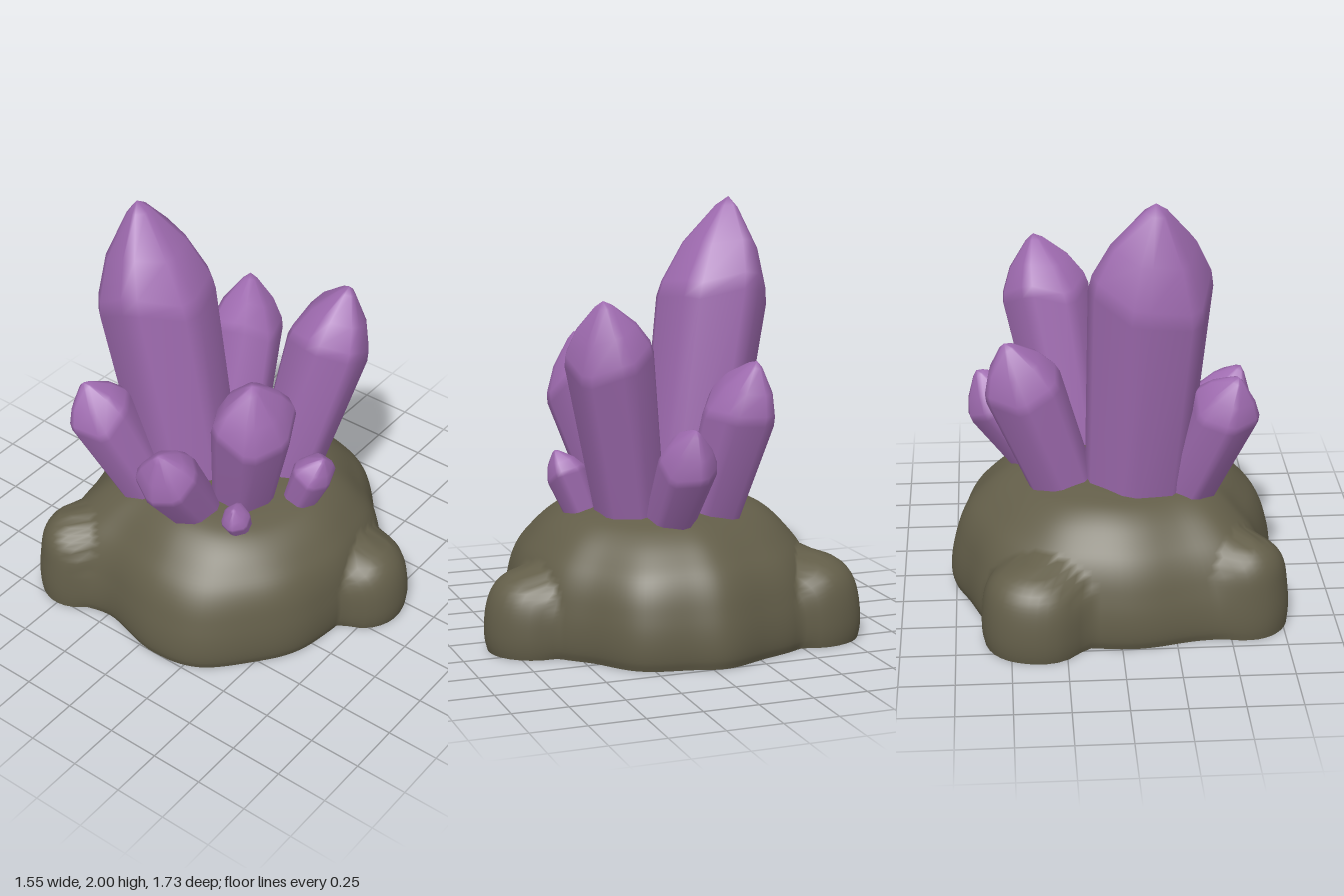
import * as THREE from 'three';

const V = (x, y, z) => new THREE.Vector3(x, y, z);

// Skin a stack of equal-length loops (counter-clockwise seen from the last end) and close both ends.
function loft(loops, bottom, top) {
  const n = loops[0].length, pts = loops.flat(), idx = [];
  for (let i = 0; i < loops.length - 1; i++)
    for (let j = 0; j < n; j++) {
      const a = i * n + j, b = i * n + (j + 1) % n;
      idx.push(a, b, b + n, a, b + n, a + n);
    }
  // The bottom cap has its own vertices so that its rim stays sharp
  const capStart = pts.length;
  pts.push(...loops[0], bottom, top);
  const last = (loops.length - 1) * n;
  for (let j = 0; j < n; j++) {
    const k = (j + 1) % n;
    idx.push(capStart + k, capStart + j, capStart + n);
    idx.push(last + j, last + k, capStart + n + 1);
  }
  const g = new THREE.BufferGeometry().setFromPoints(pts);
  g.setIndex(idx);
  g.computeVertexNormals();
  return g;
}

// Gentle lumpy variation, roughly -1 to 1
const lumpy = (p, f, s) =>
  (Math.sin(p.x * f + s) + Math.sin(p.y * f * 1.2 + s * 2.1) + Math.sin(p.z * f * 0.9 + s * 3.7)) / 3;

// Six-sided crystal with bevelled corners, a soft shoulder and an off-centre point
function crystalGeometry(base, shoulder, tip, r0, r1, phase) {
  const axis = shoulder.clone().sub(base).normalize();
  const u = V(0, 0, 1).cross(axis).normalize();
  const v = axis.clone().cross(u);
  const ring = (c, r, uneven) => {
    const loop = [];
    for (let k = 0; k < 6; k++)
      for (const d of [-0.15, 0.15]) {
        const a = phase + k * Math.PI / 3 + d;
        const rr = r * (1 + 0.05 * Math.sin(k * 2.3 + phase * 5));
        loop.push(c.clone().addScaledVector(u, rr * Math.cos(a)).addScaledVector(v, rr * Math.sin(a))
          .addScaledVector(axis, uneven * r1 * Math.sin(k * 1.9 + phase * 7)));
      }
    return loop;
  };
  const root = base.clone().addScaledVector(axis, -0.14);
  const at = s => shoulder.clone().lerp(tip, s);
  const neck = shoulder.clone().addScaledVector(axis, -0.12 * r1);
  return loft([
    ring(root, r0 * 0.97, 0), ring(base, r0, 0), ring(neck, r1, 0.2), ring(at(0.1), r1 * 0.95, 0.2),
    ring(at(0.5), r1 * 0.68, 0.1), ring(at(0.9), r1 * 0.2, 0.02),
  ], root, tip);
}

// Swellings around the rock: centre x, centre z, radius, height
const lumps = [
  [0.15, 0.65, 0.222, 0.37],
  [0.38, -0.62, 0.25, 0.395],
  [-0.57, -0.51, 0.2, 0.43],
];

// Rounded maximum that leaves a soft fillet where two surfaces meet
const softMax = (a, b, k) => Math.max(a, b) + Math.max(k - Math.abs(a - b), 0) ** 2 / (4 * k);

// Distance from the middle axis to the far side of a lump in one direction, or 0 if it is missed
function lumpReach([cx, cz, r, h], dx, dz, y) {
  if (y >= h) return 0;
  const slice = r * Math.sqrt(1 - (Math.abs(y - 0.12) / (h - 0.12)) ** 3);
  const along = cx * dx + cz * dz;
  const rest = slice * slice - (cx * cx + cz * cz - along * along);
  return along > 0 && rest > 0 ? along + Math.sqrt(rest) : 0;
}

// Domed boulder: one ground outline shrunk level by level and swollen by the lumps
function boulderGeometry() {
  const outline = [
    [-0.65, -0.68], [-0.74, -0.5], [-0.7, -0.24], [-0.775, 0.08], [-0.71, 0.32], [-0.51, 0.53], [-0.31, 0.65],
    [-0.1, 0.68], [0.12, 0.67], [0.36, 0.615], [0.5, 0.48], [0.67, 0.32], [0.745, 0.1], [0.78, -0.06],
    [0.7, -0.28], [0.6, -0.5], [0.42, -0.68], [0.17, -0.75], [-0.15, -0.765], [-0.37, -0.72],
  ].map(([x, z]) => V(x, 0, z));
  const n = 144;
  const rim = new THREE.CatmullRomCurve3(outline, true).getPoints(n).slice(0, n);
  // Half profile: share of the outline, height
  const profile = new THREE.CatmullRomCurve3([
    [0.97, 0], [0.99, 0.04], [1, 0.12], [0.995, 0.21], [0.965, 0.3], [0.905, 0.39], [0.83, 0.46],
    [0.745, 0.525], [0.65, 0.575], [0.55, 0.603], [0.42, 0.625], [0.25, 0.642],
  ].map(([s, y]) => V(s, y, 0))).getPoints(44);
  const loops = profile.map(({ x: s, y }) => rim.map(p => {
    // Higher levels grow rounder than the ground outline
    const q = p.clone().lerp(p.clone().setLength(0.72), Math.min(1, y * 1.1)).multiplyScalar(s);
    let reach = q.length();
    const dx = q.x / reach, dz = q.z / reach;
    for (const lump of lumps) reach = softMax(reach, lumpReach(lump, dx, dz, y), 0.05);
    q.set(dx * reach, y, dz * reach);
    const k = 1 + 0.016 * lumpy(q, 9, 1.3) + 0.01 * lumpy(q, 19, 2.6);
    const rise = 0.014 * lumpy(q, 11, 0.4) * Math.min(1, y * 4);
    return V(q.x * k, y + rise, q.z * k);
  }));
  return loft(loops, V(0, 0, 0), V(0, 0.65, 0));
}

export function createModel() {
  const model = new THREE.Group();
  const rock = new THREE.MeshStandardMaterial({ name: 'brown rock', color: 0x635e49 });
  const purple = new THREE.MeshStandardMaterial({ name: 'purple crystal', color: 0x9f6bb0 });
  const add = (name, geometry, material) => {
    const mesh = new THREE.Mesh(geometry, material);
    mesh.name = name;
    model.add(mesh);
  };

  add('rockBase', boulderGeometry(), rock);

  // Crystals: name, base, shoulder, tip, base radius, shoulder radius, twist
  const crystals = [
    ['tallCrystal', [-0.1, 0.6, -0.2], [-0.145, 1.57, -0.35], [-0.16, 2, -0.43], 0.235, 0.27, 0.3],
    ['frontLeftCrystal', [0.17, 0.6, 0.18], [0.295, 1.33, 0.32], [0.35, 1.6, 0.37], 0.16, 0.2, 0.1],
    ['frontRightCrystal', [-0.12, 0.6, 0.14], [-0.24, 1.14, 0.28], [-0.28, 1.38, 0.3], 0.15, 0.19, 0.55],
    ['backLeftCrystal', [0.25, 0.6, -0.19], [0.42, 1.09, -0.26], [0.5, 1.32, -0.3], 0.145, 0.175, 0.4],
    ['leftCrystal', [0.35, 0.6, 0.05], [0.54, 0.88, 0.04], [0.63, 1.05, 0.04], 0.115, 0.135, 0.2],
    ['backRightCrystal', [-0.34, 0.6, -0.28], [-0.48, 1.02, -0.41], [-0.53, 1.2, -0.47], 0.125, 0.15, 0.7],
    ['rightCrystal', [-0.35, 0.6, 0.02], [-0.53, 0.88, 0.02], [-0.6, 1.05, 0.02], 0.12, 0.145, 0.9],
    ['smallFrontCrystal', [0.02, 0.6, 0.37], [0.01, 0.78, 0.44], [0.01, 0.88, 0.49], 0.085, 0.1, 0.5],
    ['tinyCrystal', [-0.32, 0.59, 0.26], [-0.36, 0.66, 0.27], [-0.39, 0.73, 0.28], 0.06, 0.07, 0.25],
  ];
  for (const [name, base, shoulder, tip, r0, r1, twist] of crystals)
    add(name, crystalGeometry(V(...base), V(...shoulder), V(...tip), r0, r1, twist), purple);

  return model;
}
